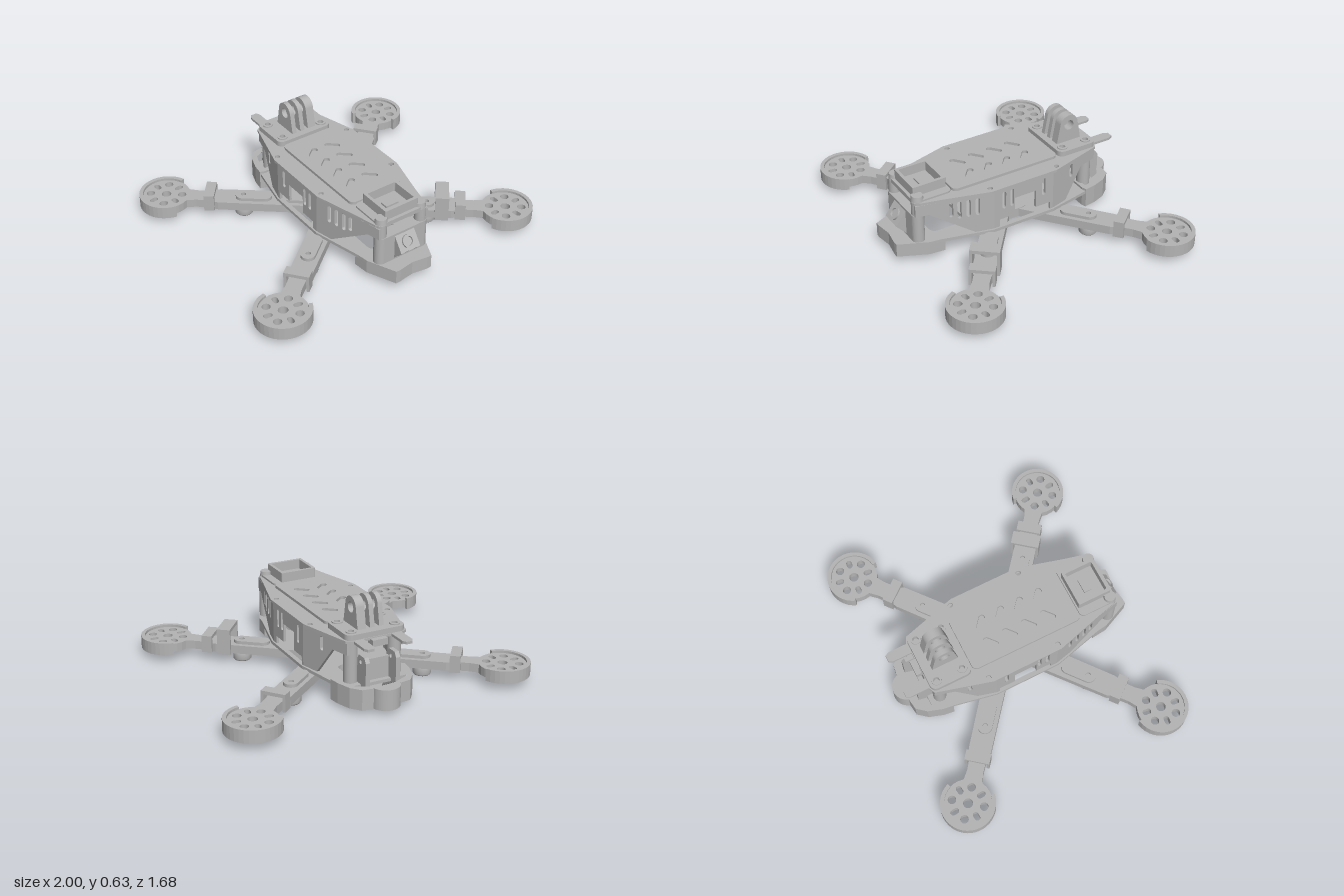
import * as THREE from 'three';

const grey = new THREE.MeshStandardMaterial({ color: 0xb4b4b4 });
grey.name = 'frame grey';

const V = (pts) => pts.map(([a, b]) => new THREE.Vector2(a, b));
const poly = (pts) => new THREE.Shape(V(pts));
// Outline given for x >= 0, mirrored to -x
const mirrored = (pts) => poly([...pts, ...pts.filter((p) => p[0] !== 0).reverse().map(([x, z]) => [-x, z])]);
const disc = (x, y, r) => new THREE.Shape().absarc(x, y, r, 0, Math.PI * 2);
// Rounded slot centred at x, y with overall length, width and angle
function slot(x, y, len, w, ang) {
  const r = w / 2, d = len / 2 - r, c = Math.cos(ang), s = Math.sin(ang);
  const p = new THREE.Shape();
  p.absarc(x + d * c, y + d * s, r, ang - Math.PI / 2, ang + Math.PI / 2);
  p.absarc(x - d * c, y - d * s, r, ang + Math.PI / 2, ang + Math.PI * 1.5);
  p.closePath();
  return p;
}
function roundRect(x0, y0, x1, y1, r) {
  const p = new THREE.Shape();
  p.absarc(x1 - r, y1 - r, r, 0, Math.PI / 2);
  p.absarc(x0 + r, y1 - r, r, Math.PI / 2, Math.PI);
  p.absarc(x0 + r, y0 + r, r, Math.PI, Math.PI * 1.5);
  p.absarc(x1 - r, y0 + r, r, Math.PI * 1.5, Math.PI * 2);
  p.closePath();
  return p;
}
const extrude = (shape, depth, holes = []) => {
  shape.holes.push(...holes);
  return new THREE.ExtrudeGeometry(shape, { depth, bevelEnabled: false, curveSegments: 12 });
};
function add(parent, name, geo, x = 0, y = 0, z = 0) {
  const m = new THREE.Mesh(geo, grey);
  m.name = name;
  m.position.set(x, y, z);
  parent.add(m);
  return m;
}
// Horizontal plate from an (x, z) shape
const slab = (parent, name, shape, y0, y1, holes) =>
  add(parent, name, extrude(shape, y1 - y0, holes).rotateX(Math.PI / 2), 0, y1, 0);
// Upright plate from a (z, y) shape, x0 to x1
const upright = (parent, name, shape, x0, x1, holes) =>
  add(parent, name, extrude(shape, x1 - x0, holes).rotateY(-Math.PI / 2), x1, 0, 0);
const box = (parent, name, w, h, d, x, y, z) => add(parent, name, new THREE.BoxGeometry(w, h, d), x, y, z);

// Arm with motor pod, foot and cable clip; local x runs outward
function makeArm(name, extraClip) {
  const g = new THREE.Group();
  g.name = name;
  const L = 1.067, R = 0.15, a = 0.4;
  const s = new THREE.Shape();
  s.moveTo(0, -0.075);
  s.lineTo(0.73, -0.07);
  s.lineTo(0.8, -0.052);
  s.lineTo(0.87, -0.05);
  s.lineTo(L - R * Math.cos(a), -R * Math.sin(a));
  s.absarc(L, 0, R, Math.PI + a, Math.PI * 3 - a);
  s.lineTo(0.87, 0.05);
  s.lineTo(0.8, 0.052);
  s.lineTo(0.73, 0.07);
  s.lineTo(0, 0.075);
  const holes = [disc(L, 0, 0.03)];
  for (let i = 0; i < 4; i++) {
    const t = (i * Math.PI) / 2, q = t + Math.PI / 4;
    holes.push(disc(L + 0.1 * Math.cos(t), 0.1 * Math.sin(t), 0.026));
    holes.push(slot(L + 0.095 * Math.cos(q), 0.095 * Math.sin(q), 0.055, 0.035, q));
  }
  slab(g, 'arm', s, 0.06, 0.115, holes);
  // Guard rim, open toward the arm
  const gap = 1.03, rim = new THREE.Shape();
  rim.absarc(L, 0, 0.17, -Math.PI + gap, Math.PI - gap, false);
  rim.absarc(L, 0, 0.146, Math.PI - gap, -Math.PI + gap, true);
  rim.closePath();
  slab(g, 'motorGuard', rim, 0.05, 0.13);
  slab(g, 'armPad', slot(0.51, 0, 0.23, 0.09, 0), 0.115, 0.135, [disc(0.575, 0, 0.016)]);
  // Rubber foot
  const foot = V([[0, 0.06], [0.05, 0.06], [0.058, 0.05], [0.058, 0.01], [0.05, 0], [0.025, 0], [0.025, 0.015], [0, 0.015]]).reverse();
  add(g, 'foot', new THREE.LatheGeometry(foot, 24), 0.575, 0, 0);
  const clip = (x, len, hw, top) => {
    box(g, 'clipTop', len, 0.022, hw * 2, x, top - 0.011, 0);
    for (const k of [-1, 1]) box(g, 'clipSide', len, top - 0.055, 0.018, x, (top + 0.055) / 2, k * (hw - 0.009));
  };
  clip(0.785, 0.065, 0.078, 0.165);
  if (extraClip) clip(0.67, 0.085, 0.09, 0.222);
  return g;
}

export function createModel() {
  const root = new THREE.Group();
  root.name = 'quadcopterFrame';

  // Arms
  for (const sx of [-1, 1]) for (const sz of [-1, 1]) {
    const arm = makeArm((sz > 0 ? 'front' : 'rear') + (sx > 0 ? 'Left' : 'Right') + 'Arm', sx > 0 && sz > 0);
    arm.rotation.y = Math.atan2(-sz * 0.67, sx * 0.83);
    root.add(arm);
  }
  slab(root, 'centrePlate', mirrored([[0, 0.27], [0.12, 0.2], [0.16, 0.06], [0.16, -0.06], [0.12, -0.2], [0, -0.27]]), 0.06, 0.12);

  // Lower body plate with openings
  const lower = [[0, 0.785], [0.1, 0.8], [0.13, 0.8], [0.21, 0.62], [0.22, 0.55], [0.3, 0.23], [0.3, -0.2], [0.24, -0.5], [0.19, -0.6], [0, -0.6]];
  const sideHole = (k) => poly([[k * 0.27, 0.15], [k * 0.27, -0.15], [k * 0.14, -0.04], [k * 0.14, 0.04]]);
  slab(root, 'lowerPlate', mirrored(lower), 0.12, 0.14, [
    sideHole(1), sideHole(-1), roundRect(-0.13, 0.32, 0.13, 0.56, 0.04), roundRect(-0.12, -0.46, 0.12, -0.3, 0.04),
  ]);
  // Front bumper skirt
  slab(root, 'frontBumper', mirrored([[0, 0.785], [0.1, 0.8], [0.13, 0.8], [0.21, 0.62], [0.22, 0.52], [0.19, 0.52], [0.18, 0.62], [0.11, 0.75], [0, 0.74]]), 0.052, 0.13);

  // Lobed rear bumper
  const rear = new THREE.Shape(V([[-0.22, -0.47], [0.22, -0.47], [0.25, -0.48], [0.24, -0.55], [0.21, -0.64], [0.16, -0.7]]));
  rear.lineTo(0.09, -0.71);
  rear.absarc(0, -0.685, 0.09, -0.2, -Math.PI + 0.2, true);
  for (const p of [[-0.09, -0.71], [-0.16, -0.7], [-0.21, -0.64], [-0.24, -0.55], [-0.25, -0.48]]) rear.lineTo(...p);
  slab(root, 'rearBumperFloor', rear.clone(), 0.025, 0.05);
  slab(root, 'rearBumperWall', rear, 0.05, 0.155, [mirrored([[0, -0.5], [0.21, -0.5], [0.2, -0.56], [0.17, -0.64], [0.08, -0.68], [0, -0.74]])]);
  // Rear antenna brackets
  for (const k of [-1, 1]) {
    const s = poly([[-0.5, 0.05], [-0.655, 0.14], [-0.655, 0.29], [-0.635, 0.32], [-0.57, 0.32], [-0.5, 0.2]]);
    upright(root, 'rearBracket', s, k * 0.1 - 0.014, k * 0.1 + 0.014, [disc(-0.59, 0.28, 0.014)]);
  }
  box(root, 'rearCrossPlate', 0.2, 0.15, 0.02, 0, 0.2, -0.56);

  // Side walls: each section is planar and follows the body's half width
  const sections = [
    [0.22, 0.29, 0.69, 0.18, [[0.22, 0.13], [0.32, 0.13], [0.61, 0.325], [0.69, 0.325], [0.69, 0.4], [0.22, 0.4]],
      [[0.48, 0.28], [0.43, 0.26], [0.375, 0.26], [0.32, 0.26]]],
    [-0.2, 0.29, 0.22, 0.29, [[-0.2, 0.13], [-0.18, 0.13], [-0.18, 0.19], [-0.075, 0.19], [-0.075, 0.31], [0.075, 0.31],
      [0.075, 0.19], [0.18, 0.19], [0.18, 0.13], [0.22, 0.13], [0.22, 0.4], [-0.2, 0.4]], [[0.15, 0.26], [0.095, 0.26], [-0.13, 0.26]]],
    [-0.57, 0.19, -0.2, 0.29, [[-0.57, 0.325], [-0.45, 0.325], [-0.31, 0.13], [-0.2, 0.13], [-0.2, 0.4], [-0.57, 0.4]], [[-0.36, 0.29]]],
  ];
  const t = 0.018;
  for (const k of [-1, 1]) for (const [z0, w0, z1, w1, pts, slots] of sections) {
    const geo = extrude(poly(pts), t, slots.map(([z, y]) => slot(z, (y + 0.38) / 2, 0.38 - y, 0.026, Math.PI / 2)));
    const p = geo.attributes.position;
    for (let i = 0; i < p.count; i++) {
      const z = p.getX(i), w = w0 + ((z - z0) / (z1 - z0)) * (w1 - w0);
      p.setXYZ(i, k * w - p.getZ(i) + (k < 0 ? t : 0), p.getY(i), z);
    }
    geo.computeVertexNormals();
    add(root, 'sideWall', geo);
  }

  // Standoffs and front block
  for (const k of [-1, 1]) {
    add(root, 'rearStandoff', new THREE.CylinderGeometry(0.042, 0.042, 0.27, 20), k * 0.145, 0.265, -0.525);
    add(root, 'frontStandoff', new THREE.CylinderGeometry(0.036, 0.036, 0.29, 20), k * 0.145, 0.27, 0.66);
    add(root, 'standoffCap', new THREE.CylinderGeometry(0.035, 0.04, 0.04, 20), k * 0.14, 0.43, 0.655);
  }
  slab(root, 'frontBlock', slot(0, 0.66, 0.37, 0.08, 0), 0.14, 0.325);

  // Tilted front camera with lens ring
  upright(root, 'camera', poly([[0.66, 0.15], [0.7, 0.15], [0.765, 0.22], [0.7, 0.31], [0.66, 0.31]]), -0.07, 0.07);
  const ring = add(root, 'cameraLens', extrude(disc(0, 0, 0.04), 0.012, [disc(0, 0, 0.028)]), 0, 0.265, 0.733);
  ring.rotation.x = -Math.atan2(0.585, 0.81);

  // Top plate with rear prongs
  const top = [[0, 0.69], [0.165, 0.69], [0.185, 0.66], [0.22, 0.52], [0.298, 0.24], [0.298, -0.22], [0.2, -0.57], [0.158, -0.59],
    [0.158, -0.71], [0.145, -0.735], [0.105, -0.735], [0.092, -0.71], [0.092, -0.585], [0, -0.585]];
  const topHoles = [];
  for (const k of [-1, 1]) for (const z of [-0.24, 0.23]) topHoles.push(disc(k * 0.262, z, 0.016));
  slab(root, 'topPlate', mirrored(top), 0.4, 0.416, topHoles);

  // Raised battery pad with diagonal slots
  const vents = [];
  for (const k of [-1, 1]) for (let i = 0; i < 4; i++) vents.push(slot(k * 0.072, -0.127 + i * 0.13, 0.1, 0.038, k * 0.7));
  slab(root, 'batteryPad', roundRect(-0.185, -0.3, 0.185, 0.435, 0.035), 0.416, 0.434, vents);

  // Front open tray
  slab(root, 'trayBase', roundRect(-0.175, 0.44, 0.175, 0.69, 0.03), 0.416, 0.428);
  slab(root, 'trayWall', roundRect(-0.12, 0.45, 0.12, 0.67, 0.008), 0.428, 0.49, [roundRect(-0.1, 0.47, 0.1, 0.65, 0.008)]);
  box(root, 'trayPad', 0.09, 0.012, 0.05, 0, 0.434, 0.555);

  // Rear action camera mount
  const bolts = [];
  for (const k of [-1, 1]) for (const z of [-0.53, -0.36]) {
    bolts.push(disc(k * 0.145, z, 0.018));
    slab(root, 'mountBoss', disc(k * 0.145, z, 0.032), 0.44, 0.457, [disc(k * 0.145, z, 0.018)]);
  }
  slab(root, 'mountBase', roundRect(-0.195, -0.58, 0.195, -0.31, 0.04), 0.416, 0.45, bolts);
  for (const [x0, x1] of [[-0.075, -0.045], [-0.015, 0.015], [0.042, 0.098]]) {
    const fin = new THREE.Shape();
    fin.moveTo(-0.525, 0.445);
    fin.lineTo(-0.35, 0.445);
    fin.absarc(-0.437, 0.567, 0.064, 0.15, Math.PI - 0.15);
    fin.closePath();
    upright(root, 'mountFin', fin, x0, x1, [disc(-0.437, 0.562, 0.033)]);
  }
  box(root, 'rearTab', 0.1, 0.04, 0.06, 0, 0.39, -0.59);
  return root;
}
